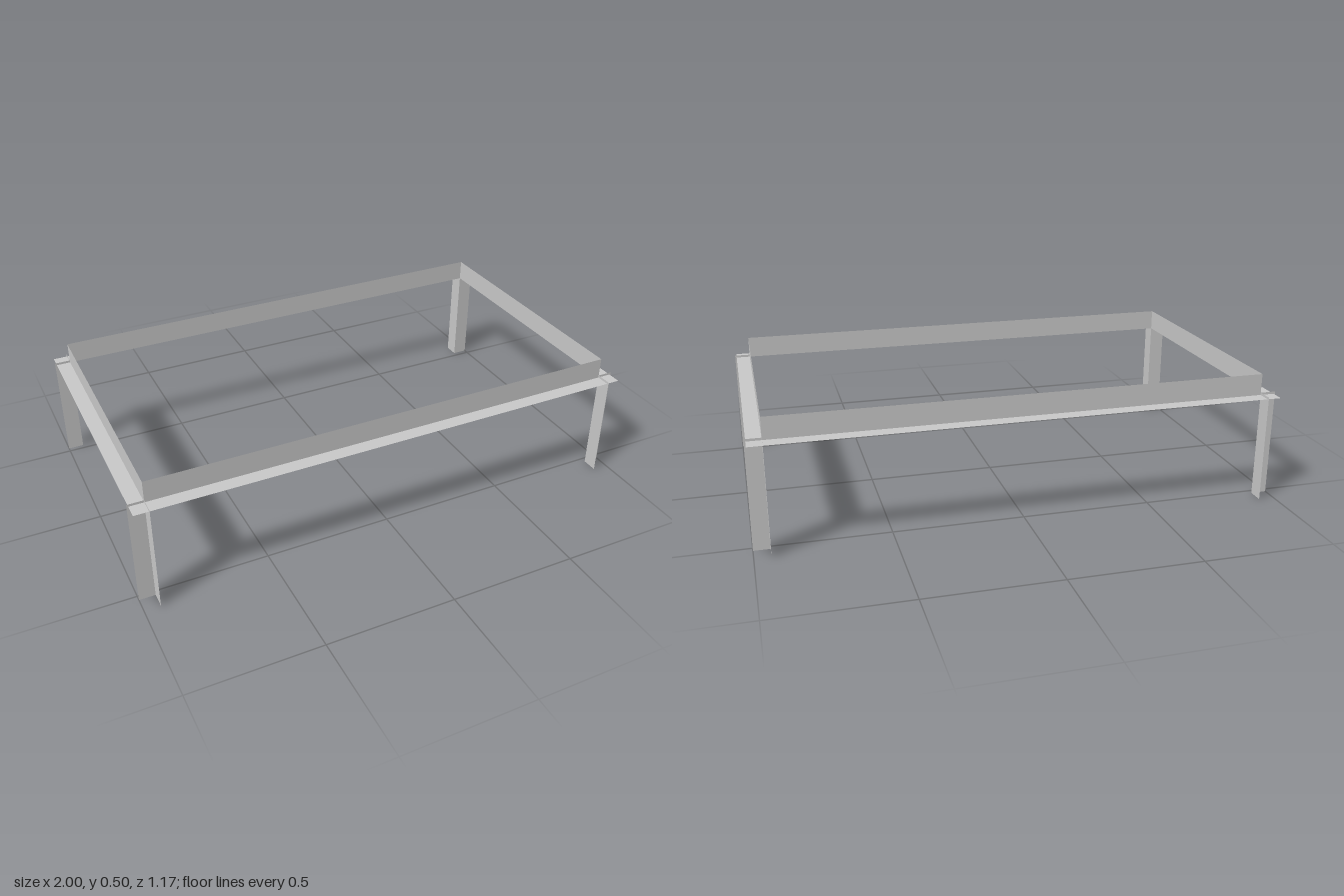
import * as THREE from 'three';

// Inner corner line of the angle sections, and outer reach of flanges and legs
const IX = 0.939, IZ = 0.521;
const FLANGE = 0.055, LEG_X = 0.061, LEG_Z = 0.062;
const SHELF_Y = 0.411, RAIL_TOP = 0.495, LEG_TOP = 0.42;

export function createModel() {
  const group = new THREE.Group();
  group.name = 'angleFrame';
  const steel = new THREE.MeshStandardMaterial({ color: 0xc8c8c8, side: THREE.DoubleSide });
  steel.name = 'pale grey steel';

  // Thin upright sheet centred at x, z; facing along z, or along x when turned
  const sheet = (parent, name, width, y0, y1, x, z, turn = 0) => {
    const mesh = new THREE.Mesh(new THREE.PlaneGeometry(width, y1 - y0), steel);
    mesh.name = name;
    mesh.position.set(x, (y0 + y1) / 2, z);
    mesh.rotation.y = turn;
    parent.add(mesh);
  };

  // Upright webs of the four rails
  for (const s of [1, -1]) {
    sheet(group, s > 0 ? 'frontRail' : 'backRail', 2 * IX, SHELF_Y, RAIL_TOP, 0, s * IZ, s > 0 ? 0 : Math.PI);
    sheet(group, s > 0 ? 'leftRail' : 'rightRail', 2 * IZ, SHELF_Y, RAIL_TOP, s * IX, 0, s * Math.PI / 2);
  }

  // Flat flange running around the outside of the rails
  const rectangle = (path, x, z) =>
    path.moveTo(-x, -z).lineTo(x, -z).lineTo(x, z).lineTo(-x, z).closePath();
  const outline = rectangle(new THREE.Shape(), IX + FLANGE, IZ + FLANGE);
  outline.holes.push(rectangle(new THREE.Path(), IX, IZ));
  const flange = new THREE.Mesh(new THREE.ShapeGeometry(outline).rotateX(-Math.PI / 2), steel);
  flange.name = 'railFlange';
  flange.position.y = SHELF_Y;
  group.add(flange);

  // L-section legs opening outward from each corner
  for (const sx of [1, -1]) for (const sz of [1, -1]) {
    const leg = new THREE.Group();
    leg.name = (sz > 0 ? 'front' : 'back') + (sx > 0 ? 'Left' : 'Right') + 'Leg';
    sheet(leg, 'legFaceAcross', LEG_X, 0, LEG_TOP, sx * (IX + LEG_X / 2), sz * IZ, sz > 0 ? 0 : Math.PI);
    sheet(leg, 'legFaceAlong', LEG_Z, 0, LEG_TOP, sx * IX, sz * (IZ + LEG_Z / 2), sx * Math.PI / 2);
    group.add(leg);
  }
  return group;
}
